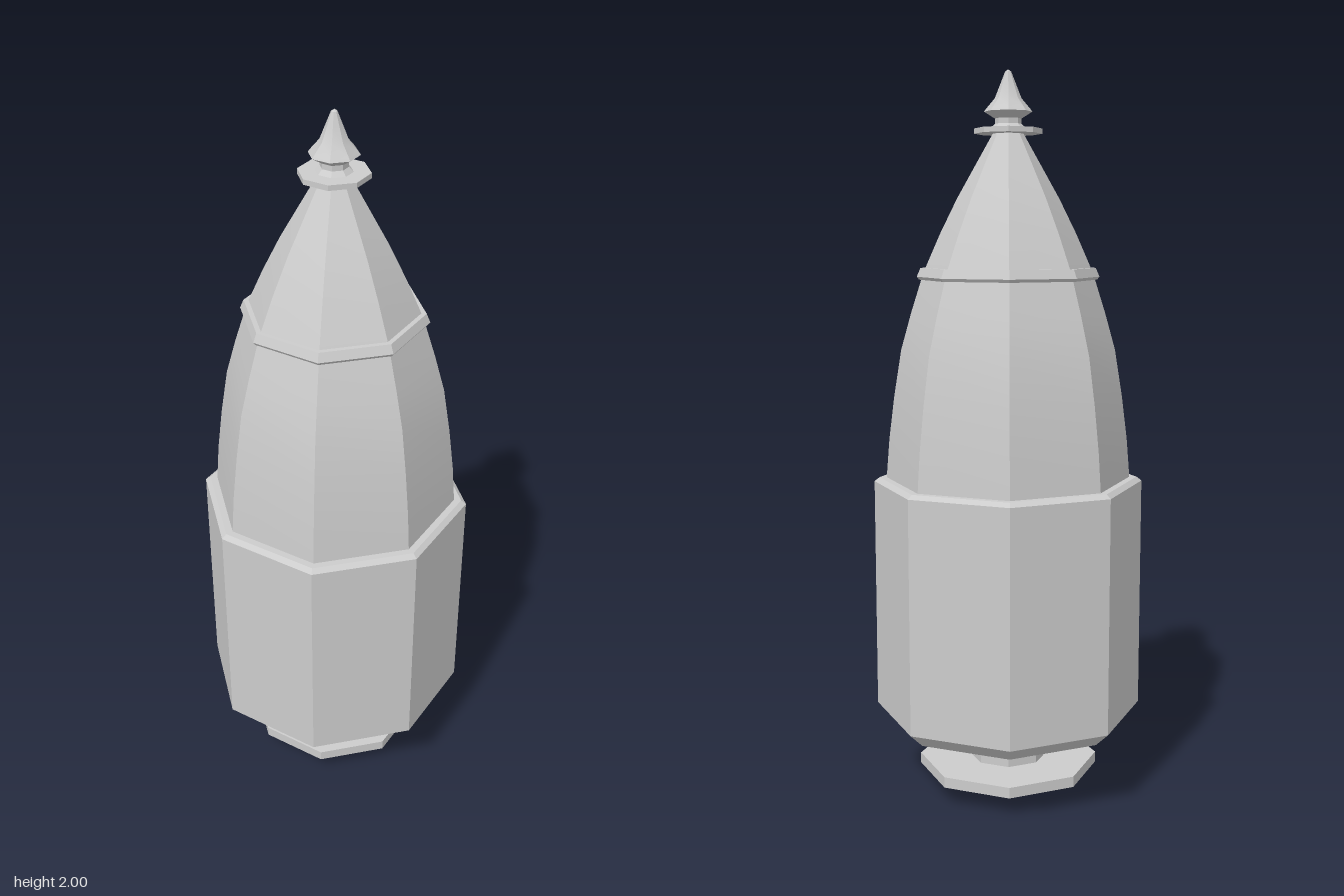
import * as THREE from 'three';
import { toCreasedNormals } from 'three/addons/utils/BufferGeometryUtils.js';

const SIDES = 8;

export function createModel() {
  const group = new THREE.Group();
  const material = new THREE.MeshStandardMaterial({ color: 0xcccccc });

  // Octagonal turned part; profile is [radius, height] from bottom to top
  const turned = (name, profile) => {
    const points = profile.map(([r, y]) => new THREE.Vector2(r, y));
    const geometry = toCreasedNormals(new THREE.LatheGeometry(points, SIDES), Math.PI / 7);
    const mesh = new THREE.Mesh(geometry, material);
    mesh.name = name;
    group.add(mesh);
  };
  const disc = (name, r, y0, y1) => turned(name, [[0, y0], [r, y0], [r, y1], [0, y1]]);

  // Base: stepped tip, hub, flange and neck
  disc('baseTip', 0.045, 0, 0.025);
  disc('baseHub', 0.11, 0.02, 0.055);
  disc('baseFlange', 0.252, 0.053, 0.083);
  disc('baseNeck', 0.11, 0.08, 0.21);

  // Main body with chamfered rims
  turned('body', [
    [0, 0.197], [0.332, 0.197], [0.374, 0.236], [0.374, 0.882], [0.36, 0.893], [0, 0.893],
  ]);

  // Bulging dome above the body
  turned('dome', [
    [0.34, 0.89], [0.331, 1.0], [0.316, 1.12], [0.295, 1.25], [0.267, 1.35], [0.237, 1.445],
  ]);

  // Band between dome and cap
  turned('band', [
    [0, 1.442], [0.244, 1.442], [0.25, 1.45], [0.24, 1.474], [0, 1.474],
  ]);

  // Slightly curved conical cap
  turned('cap', [
    [0.228, 1.47], [0.186, 1.565], [0.139, 1.66], [0.091, 1.745], [0.04, 1.835],
  ]);

  // Collar and pointed finial
  disc('finialCollar', 0.092, 1.832, 1.846);
  turned('finial', [
    [0.048, 1.846], [0.036, 1.858], [0.036, 1.872], [0.065, 1.89], [0.06, 1.897],
    [0.036, 1.925], [0.02, 1.965], [0.008, 1.995], [0, 2],
  ]);

  return group;
}
